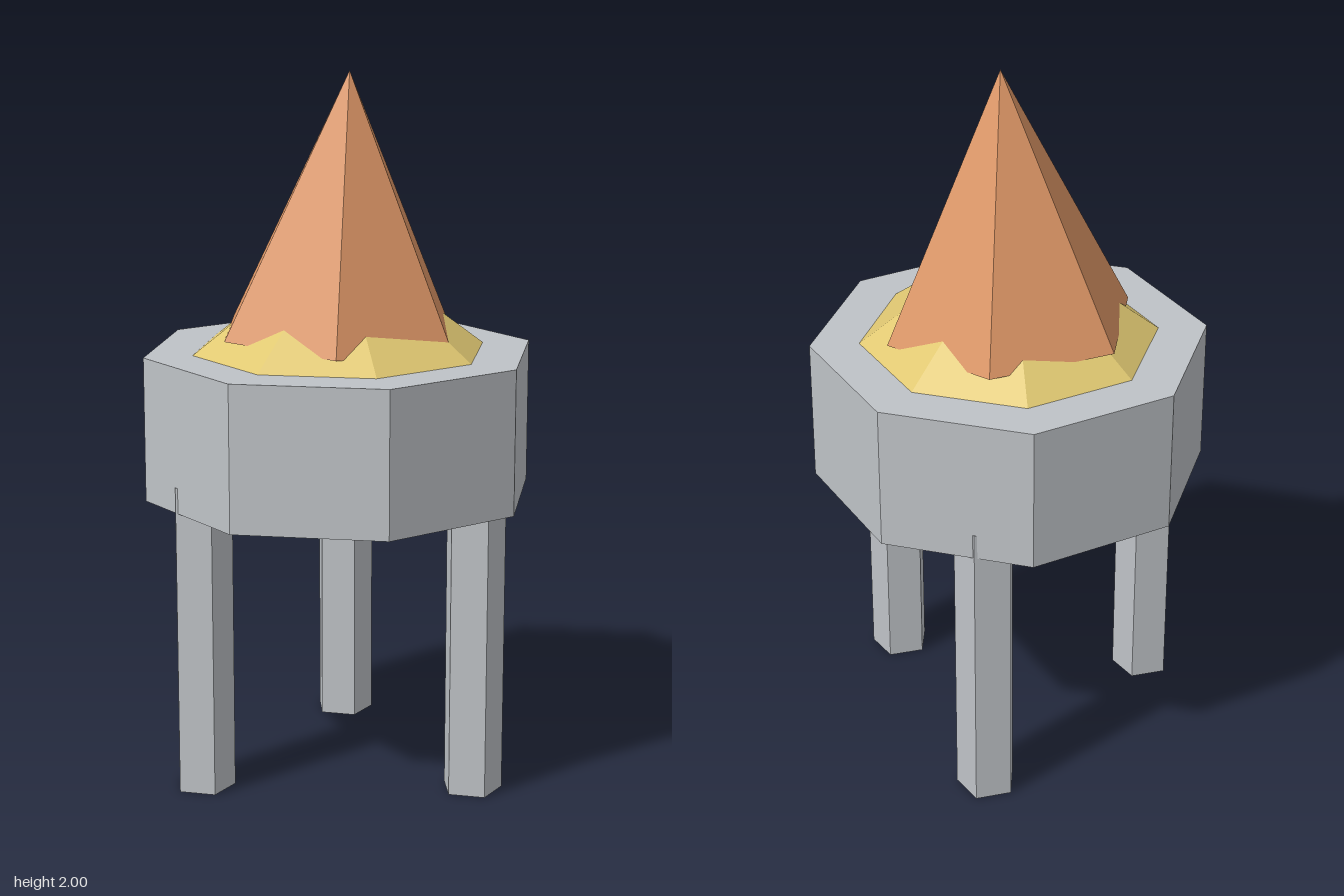
import * as THREE from 'three';

const mat = (name, color) => {
  const m = new THREE.MeshStandardMaterial({ color });
  m.name = name;
  return m;
};

// Faceted prism, frustum or cone with its base at y = 0 and a corner at angle `start`
function prism(name, material, rTop, rBottom, height, sides, start) {
  const geo = new THREE.CylinderGeometry(rTop, rBottom, height, sides, 1, false, start)
    .translate(0, height / 2, 0)
    .toNonIndexed();
  geo.computeVertexNormals();
  const mesh = new THREE.Mesh(geo, material);
  mesh.name = name;
  return mesh;
}

export function createModel() {
  const model = new THREE.Group();
  model.name = 'tower';

  const grey = mat('grey', 0xbfc3c7);
  const yellow = mat('straw yellow', 0xe0c872);
  const orange = mat('orange', 0xdc9666);

  // Three five-sided legs, all turned the same way, their tops sunk into the drum
  for (let i = 0; i < 3; i++) {
    const a = (i * Math.PI * 2) / 3;
    const leg = prism('leg' + (i + 1), grey, 0.087, 0.087, 0.885, 5, -Math.PI / 2);
    leg.position.set(0.437 * Math.cos(a), 0, 0.437 * Math.sin(a));
    model.add(leg);
  }

  // Octagonal drum
  const drum = prism('drum', grey, 0.558, 0.558, 0.409, 8, 0);
  drum.position.y = 0.813;
  model.add(drum);

  // Low octagonal cone under the roof
  const collar = prism('collar', yellow, 0, 0.42, 0.318, 8, 0);
  collar.position.y = 1.222;
  model.add(collar);

  // Six-sided pointed roof, leaning slightly to +x
  const roof = prism('roof', orange, 0, 0.36, 0.734, 6, Math.PI / 2);
  roof.position.y = 1.267;
  roof.rotation.z = -0.043;
  model.add(roof);

  return model;
}
